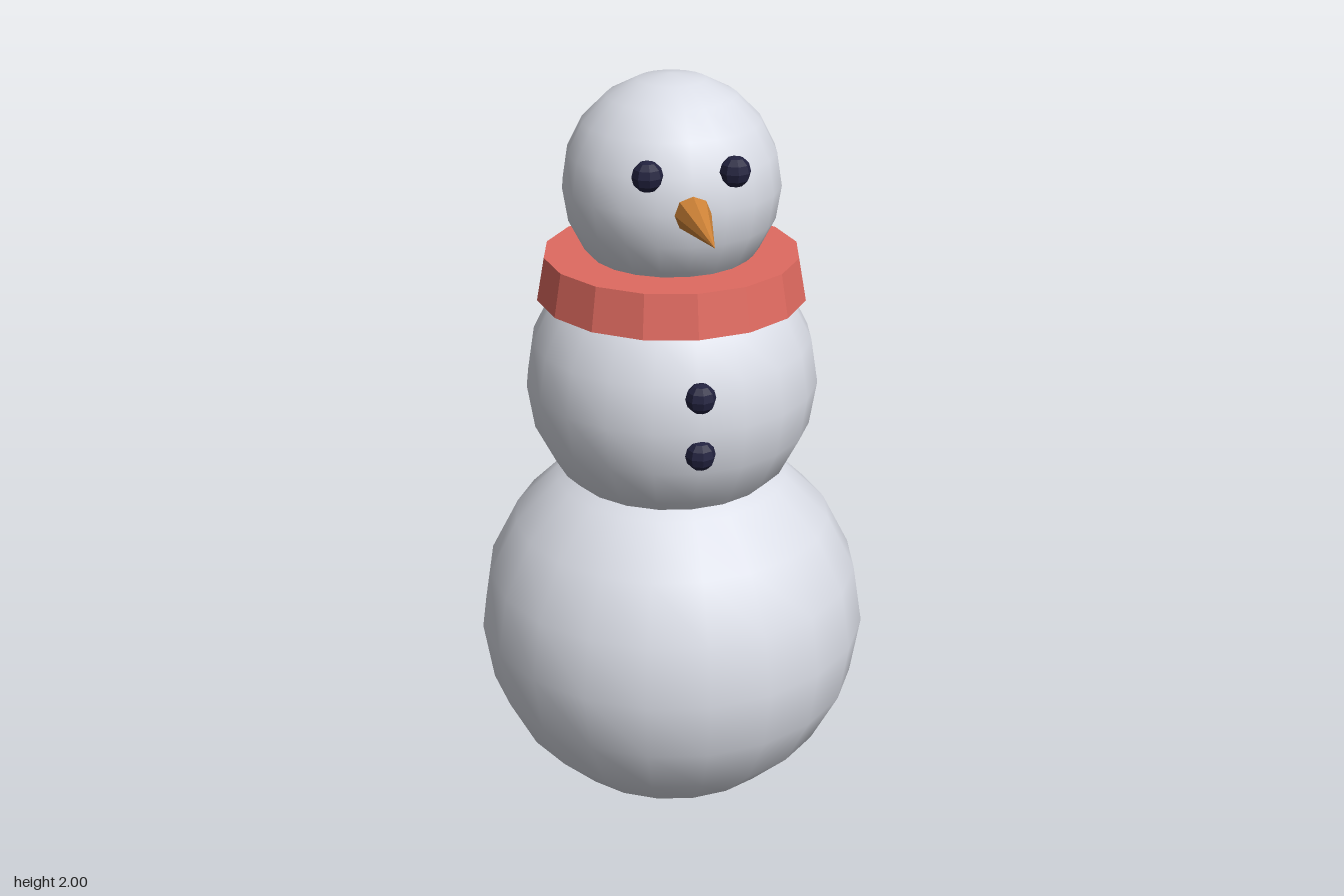
import * as THREE from 'three';

const snow = new THREE.MeshStandardMaterial({ color: 0xdcdfe8 });
const scarfRed = new THREE.MeshStandardMaterial({ color: 0xe06a60 });
const carrot = new THREE.MeshStandardMaterial({ color: 0xd08438 });
const coal = new THREE.MeshStandardMaterial({ color: 0x22223f });
snow.name = 'snow';
scarfRed.name = 'scarfRed';
carrot.name = 'carrot';
coal.name = 'coal';

// Un-indexed copy with one normal per face, for the faceted parts
function faceted(geometry) {
  const flat = geometry.toNonIndexed();
  flat.computeVertexNormals();
  return flat;
}

export function createModel() {
  const group = new THREE.Group();
  group.name = 'snowman';

  function add(name, geometry, material, x, y, z) {
    const mesh = new THREE.Mesh(geometry, material);
    mesh.name = name;
    mesh.position.set(x, y, z);
    group.add(mesh);
    return mesh;
  }

  // Three stacked snowballs
  const balls = [
    ['lowerBody', 0.515, 0.52],
    ['upperBody', 0.376, 1.21],
    ['head', 0.273, 1.727],
  ];
  for (const [name, radius, y] of balls) {
    add(name, new THREE.SphereGeometry(radius, 20, 10), snow, 0, y, 0);
  }

  // Flared scarf ring around the neck
  add('scarf', faceted(new THREE.CylinderGeometry(0.323, 0.343, 0.11, 16)), scarfRed, 0, 1.495, 0);

  // Carrot nose pointing forward
  const noseGeometry = faceted(new THREE.ConeGeometry(0.05, 0.275, 8).rotateX(Math.PI / 2));
  add('nose', noseGeometry, carrot, 0, 1.727, 0.3725);

  // Coal eyes and buttons
  const lump = faceted(new THREE.SphereGeometry(0.038, 8, 6));
  add('leftEye', lump, coal, 0.105, 1.82, 0.245);
  add('rightEye', lump, coal, -0.105, 1.82, 0.245);
  add('upperButton', lump, coal, 0, 1.3, 0.368);
  add('lowerButton', lump, coal, 0, 1.15, 0.368);

  return group;
}
